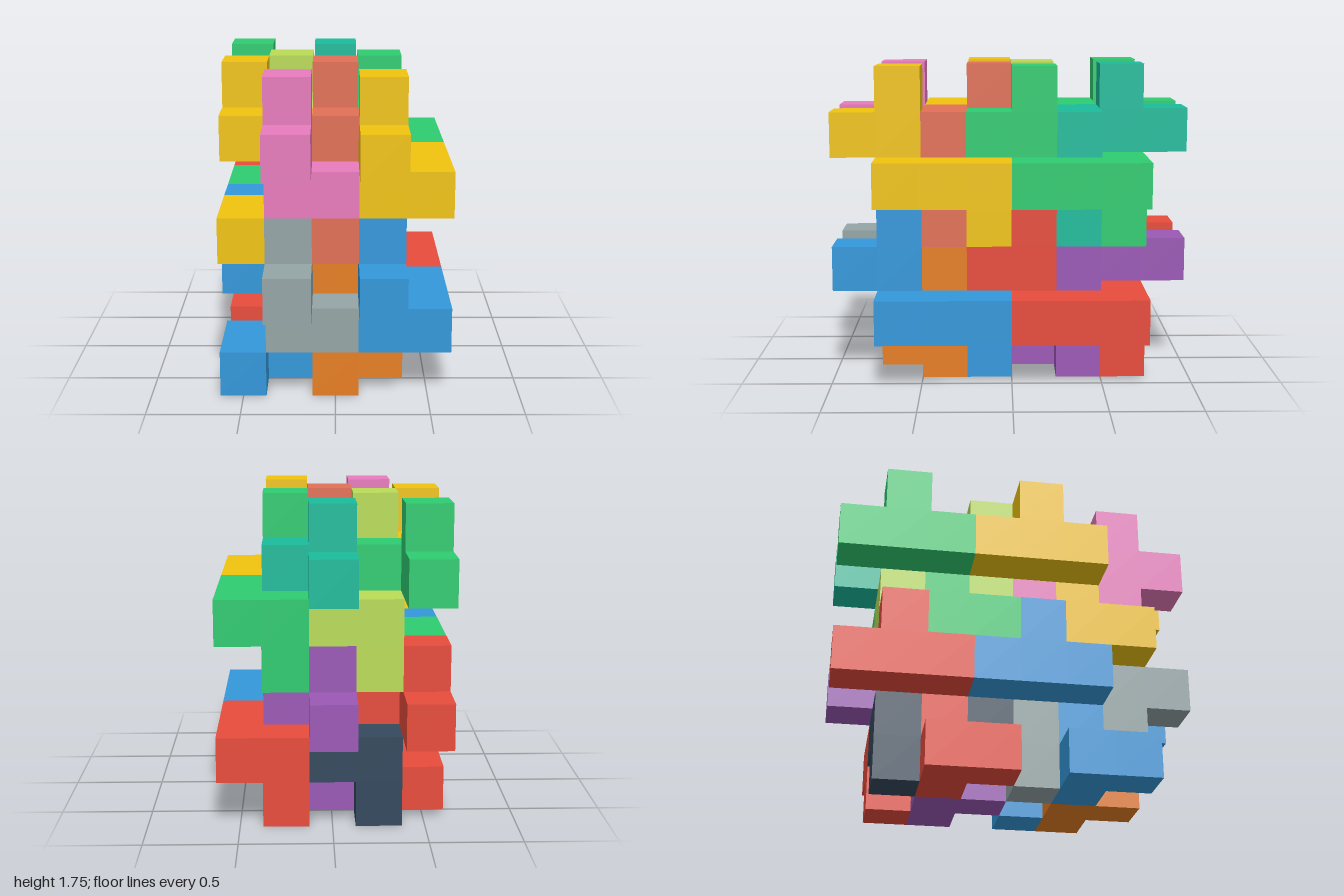
import * as THREE from 'three';
import { mergeGeometries } from 'three/addons/utils/BufferGeometryUtils.js';

const UNIT = 0.25;

// Two repeating nine-cube shapes; cells are [x, y, z] in grid units.
const HOOK = [
  [1, 0, 2], [0, 0, 2], [0, 0, 3],            // foot
  [1, 1, 2],                                  // post
  [0, 2, 0], [0, 2, 1], [0, 2, 2], [1, 2, 2], // arm
  [0, 3, 1],                                  // knob
];
const CLAMP = [
  [0, 0, 1],                                             // leg
  [1, 1, 1], [1, 1, 2], [1, 1, 3], [0, 1, 1], [0, 1, 3], // C-shaped body
  [0, 2, 3], [0, 2, 4],                                  // ledge
  [0, 3, 3],                                             // knob
];

// Rotation about x or y that turns a +z plane towards each direction
const SIDES = [
  { dir: [0, 0, 1], rx: 0, ry: 0 },
  { dir: [0, 0, -1], rx: 0, ry: Math.PI },
  { dir: [1, 0, 0], rx: 0, ry: Math.PI / 2 },
  { dir: [-1, 0, 0], rx: 0, ry: -Math.PI / 2 },
  { dir: [0, 1, 0], rx: -Math.PI / 2, ry: 0 },
  { dir: [0, -1, 0], rx: Math.PI / 2, ry: 0 },
];

// Skin of a group of cubes: only faces with no neighbour in the same piece
function cubeSkin(cells) {
  const filled = new Set(cells.map((c) => c.join()));
  const faces = [];
  for (const cell of cells) {
    for (const { dir, rx, ry } of SIDES) {
      if (filled.has(cell.map((v, n) => v + dir[n]).join())) continue;
      const [x, y, z] = cell.map((v, n) => (v + 0.5 + dir[n] / 2) * UNIT);
      faces.push(new THREE.PlaneGeometry(UNIT, UNIT).rotateX(rx).rotateY(ry).translate(x, y, z));
    }
  }
  return mergeGeometries(faces);
}

// Colours by tier: [left back, left front, right back, right front] as seen from the front
const TIERS = [
  {
    name: 'lower', level: 0,
    hook: [0xe74c3c, 0x3498db, 0x9b59b6, 0xe67e22],
    clamp: [0x34495e, 0x95a5a6, 0xe74c3c, 0x3498db],
  },
  {
    name: 'upper', level: 3,
    hook: [0x2ecc71, 0xf1c40f, 0x1abc9c, 0xe17055],
    clamp: [0xbadc58, 0xe87bbd, 0x2ecc71, 0xf1c40f],
  },
];
const SPOTS = [
  { name: 'BackRight', x: 0, z: 0 },
  { name: 'FrontRight', x: 0, z: 3 },
  { name: 'BackLeft', x: 2, z: 0 },
  { name: 'FrontLeft', x: 2, z: 3 },
];

export function createModel() {
  const model = new THREE.Group();
  model.name = 'interlockingBlocks';
  const hookSkin = cubeSkin(HOOK);
  const clampSkin = cubeSkin(CLAMP);

  for (const tier of TIERS) {
    const group = new THREE.Group();
    group.name = tier.name + 'Tier';
    group.position.y = tier.level * UNIT;

    const addPiece = (name, skin, color, x, z) => {
      const mesh = new THREE.Mesh(skin, new THREE.MeshStandardMaterial({ color }));
      mesh.name = name;
      mesh.position.set((x - 2.5) * UNIT, 0, (z - 4) * UNIT);
      group.add(mesh);
    };

    // Each spot holds one hook and the clamp that locks into it
    SPOTS.forEach((spot, n) => {
      addPiece('hook' + spot.name, hookSkin, tier.hook[n], spot.x, spot.z);
      addPiece('clamp' + spot.name, clampSkin, tier.clamp[n], spot.x + 1, spot.z);
    });
    model.add(group);
  }
  return model;
}
